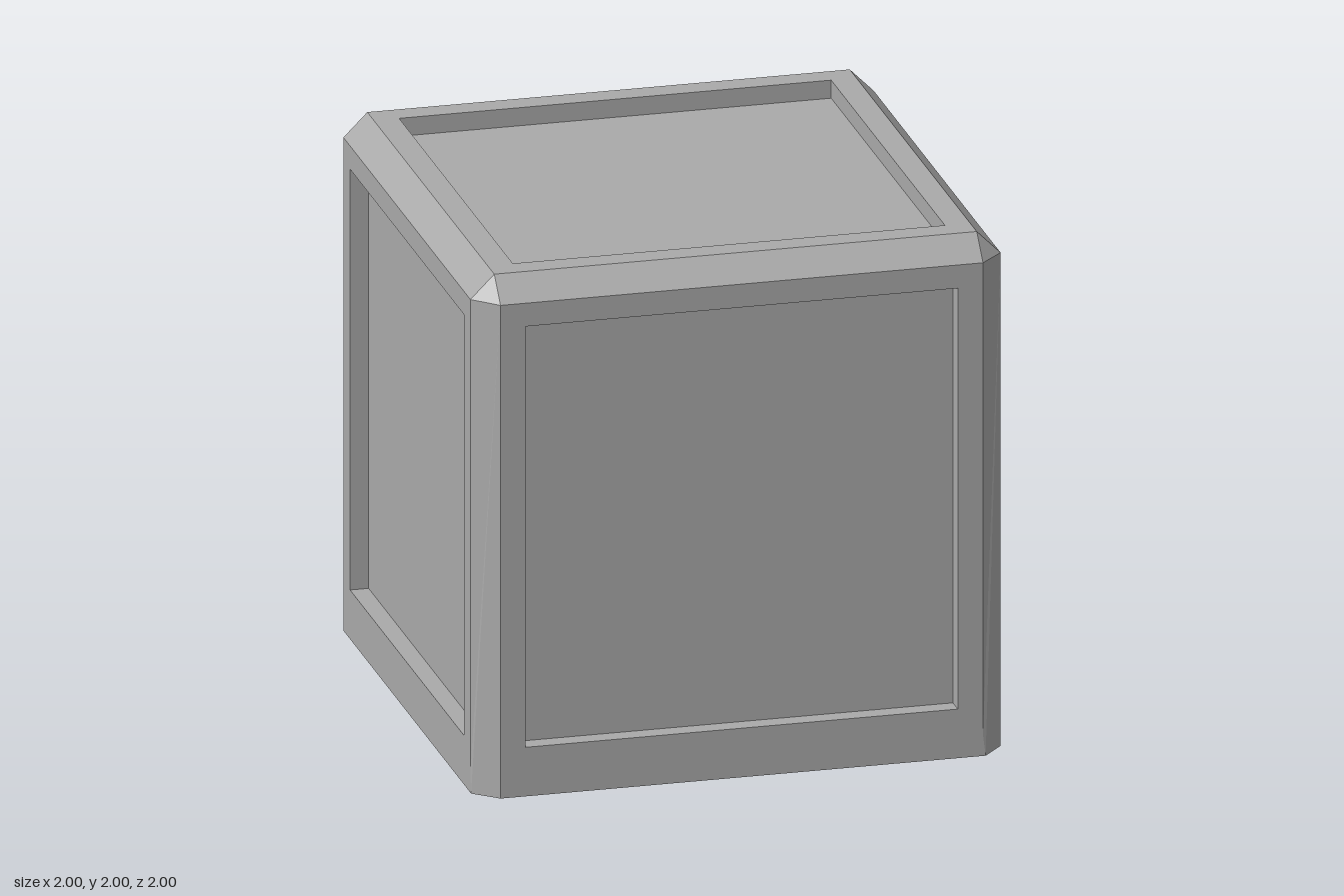
import * as THREE from 'three';

const E = 0.91;      // edge of the flat faces, where the bevel starts
const P = 0.815;     // half width of the sunken panel
const DEPTH = 0.07;  // panel recess

// Flat-shaded geometry from convex polygons, corners counter-clockwise from outside
function polygons(list) {
  const v = [];
  for (const p of list)
    for (let i = 1; i < p.length - 1; i++) v.push(...p[0], ...p[i], ...p[i + 1]);
  const g = new THREE.BufferGeometry();
  g.setAttribute('position', new THREE.Float32BufferAttribute(v, 3));
  g.computeVertexNormals();
  return g;
}

export function createModel() {
  const grey = new THREE.MeshStandardMaterial({ color: 0xaaaaaa });
  grey.name = 'grey';
  const model = new THREE.Group();
  model.name = 'crate';

  const add = (parent, name, geometry) => {
    const mesh = new THREE.Mesh(geometry, grey);
    mesh.name = name;
    parent.add(mesh);
    return mesh;
  };

  // Face in the plane z = 1: a flat rim around a sunken panel centred at height cy
  function framedFace(parent, outline, cy) {
    const hole = [[-P, cy - P], [P, cy - P], [P, cy + P], [-P, cy + P]];
    const toVec = ([x, y]) => new THREE.Vector2(x, y);
    const shape = new THREE.Shape(outline.map(toVec));
    shape.holes.push(new THREE.Path(hole.map(toVec)));
    add(parent, 'rim', new THREE.ShapeGeometry(shape).translate(0, 0, 1));
    const front = hole.map(([x, y]) => [x, y, 1]);
    const back = hole.map(([x, y]) => [x, y, 1 - DEPTH]);
    add(parent, 'recessWalls', polygons(front.map((p, i) => {
      const j = (i + 1) % 4;
      return [p, front[j], back[j], back[i]];
    })));
    add(parent, 'panel', polygons([back]));
  }

  // Four sides, each with its top bevel and one bevelled corner post
  const sideOutline = [[-E, 0], [0.92, 0], [E, 0.08], [E, 1.91], [-E, 1.91]];
  const foot = [];
  for (let i = 0; i < 4; i++) {
    const side = new THREE.Group();
    side.name = 'side' + (i + 1);
    side.rotation.y = i * Math.PI / 2;
    framedFace(side, sideOutline, 1.005);

    add(side, 'topBevel', polygons([[[-E, 1.91, 1], [E, 1.91, 1], [E, 2, E], [-E, 2, E]]]));

    const a0 = [0.92, 0, 1], a1 = [E, 0.08, 1], a2 = [E, 1.91, 1];
    const b0 = [1, 0, E], b2 = [1, 1.91, E];
    add(side, 'cornerBevel', polygons([[a0, b0, b2], [a0, b2, a1], [a1, b2, a2]]));
    add(side, 'cornerTip', polygons([[a2, b2, [E, 2, E]]]));
    model.add(side);

    for (const p of [a0, b0])
      foot.push(new THREE.Vector3(...p).applyAxisAngle(new THREE.Vector3(0, 1, 0), side.rotation.y).toArray());
  }

  // Top, made as a front face and tipped up
  const top = new THREE.Group();
  top.name = 'top';
  top.rotation.x = -Math.PI / 2;
  top.position.y = 1;
  framedFace(top, [[-E, -E], [E, -E], [E, E], [-E, E]], 0);
  model.add(top);

  // Flat underside
  add(model, 'underside', polygons([foot.reverse()]));
  return model;
}
